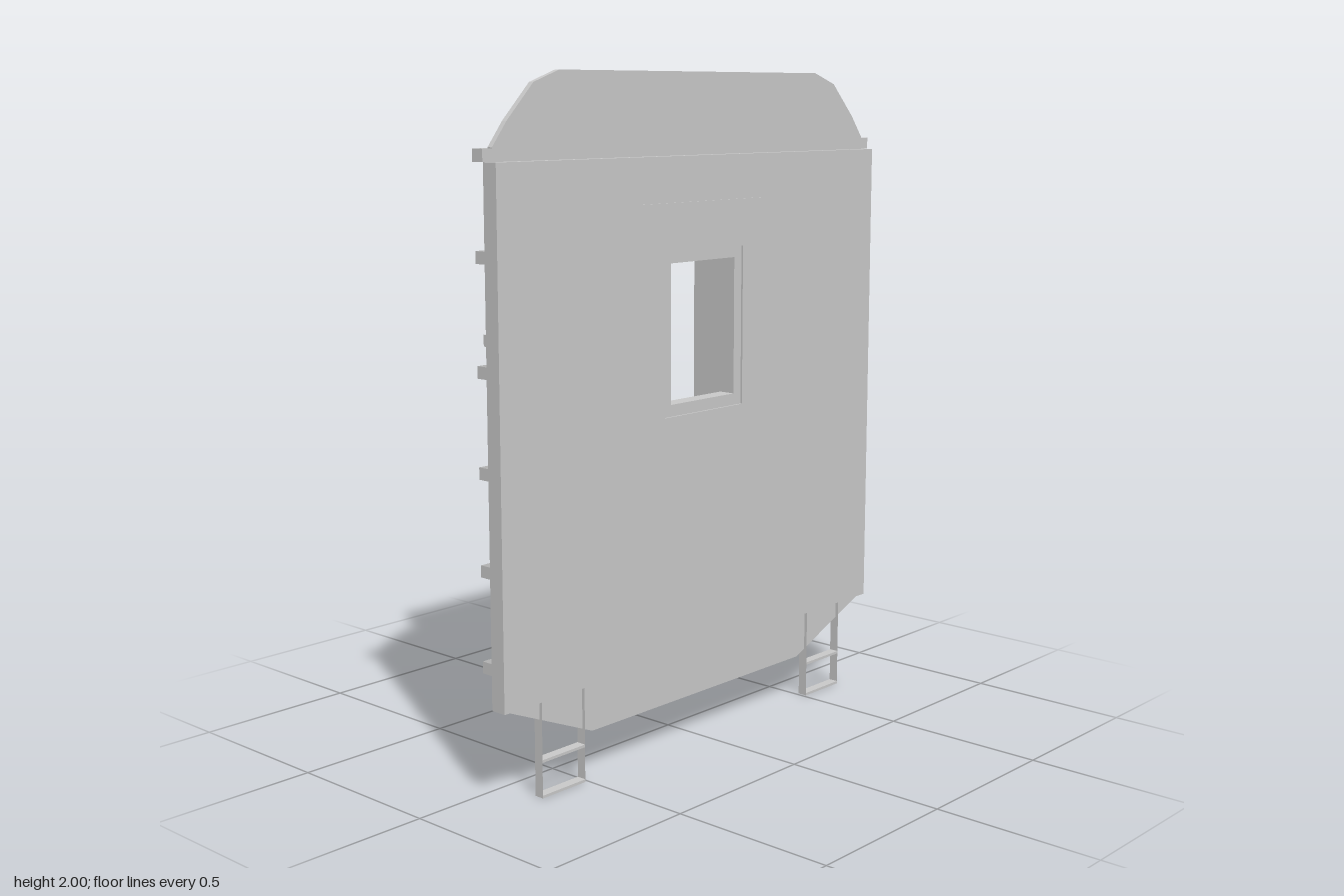
import * as THREE from 'three';

export function createModel() {
  const model = new THREE.Group();
  const grey = new THREE.MeshStandardMaterial({ color: 0xc9c9c9, side: THREE.DoubleSide });
  grey.name = 'plain grey';

  const add = (name, geometry) => {
    const mesh = new THREE.Mesh(geometry, grey);
    mesh.name = name;
    model.add(mesh);
    return mesh;
  };
  // Box given by its limits on each axis
  const box = (name, x0, x1, y0, y1, z0, z1) => {
    const mesh = add(name, new THREE.BoxGeometry(x1 - x0, y1 - y0, z1 - z0));
    mesh.position.set((x0 + x1) / 2, (y0 + y1) / 2, (z0 + z1) / 2);
    return mesh;
  };
  // Flat outline extruded between two depths
  const slab = (name, points, z0, z1, hole) => {
    const shape = new THREE.Shape(points.map(([x, y]) => new THREE.Vector2(x, y)));
    if (hole) shape.holes.push(new THREE.Path(hole.map(([x, y]) => new THREE.Vector2(x, y))));
    const geometry = new THREE.ExtrudeGeometry(shape, { depth: z1 - z0, bevelEnabled: false });
    return add(name, geometry.translate(0, 0, z0));
  };
  const rect = (w, y0, y1) => [[-w, y0], [w, y0], [w, y1], [-w, y1]];
  const ductOpening = rect(0.28, 0.43, 1.59);

  // End wall: outer skin with the window, backing cut away behind the gangway
  slab('wallSkin', rect(0.817, 0.28, 1.762), 0.127, 0.146, rect(0.173, 1.01, 1.49));
  slab('wallBacking', rect(0.817, 0.28, 1.762), 0.097, 0.127, ductOpening);
  slab('windowFrame', rect(0.173, 1.01, 1.49), 0.088, 0.14, rect(0.14, 1.045, 1.457));
  slab('upperPanel', [[-0.8, 1.762], [0.8, 1.762], [0.8, 1.8], [0.748, 1.867], [0.65, 1.967],
    [0.555, 2], [-0.555, 2], [-0.65, 1.967], [-0.748, 1.867], [-0.8, 1.8]], 0.097, 0.114);
  slab('lowerPanel', [[-0.8, 0.28], [-0.47, 0.14], [0.47, 0.14], [0.8, 0.28]], 0.097, 0.135);
  box('dripStrip', -0.27, 0.27, 1.6297, 1.6303, 0.146, 0.15);

  // Gangway duct, outer frame and sill
  slab('gangwayDuct', rect(0.345, 0.4, 1.73), -0.004, 0.097, ductOpening);
  slab('gangwayFrame', rect(0.445, 0.465, 1.73), -0.143, -0.004, rect(0.28, 0.535, 1.59));
  box('sill', -0.36, 0.36, 0.4, 0.467, -0.107, -0.004);

  // Header over the gangway
  box('header', -0.46, 0.46, 1.73, 1.865, -0.15, 0.022);
  box('headerFlange', -0.475, 0.475, 1.7, 1.9, 0.022, 0.055);
  box('headerBacking', -0.44, 0.44, 1.73, 1.865, 0.055, 0.087);

  // U-shaped ribbon of thin sheet, used for the climbing irons
  const ribbon = (x0, x1, y, zWall, zOut, h) => {
    const path = [[x0, zWall], [x0, zOut], [x1, zOut], [x1, zWall]];
    const verts = [], index = [];
    for (let i = 0; i < 3; i++) {
      const [a, b] = [path[i], path[i + 1]], n = i * 4;
      verts.push(a[0], y - h, a[1], b[0], y - h, b[1], b[0], y + h, b[1], a[0], y + h, a[1]);
      index.push(n, n + 2, n + 1, n, n + 3, n + 2);
    }
    const g = new THREE.BufferGeometry();
    g.setAttribute('position', new THREE.Float32BufferAttribute(verts, 3));
    g.setIndex(index);
    g.computeVertexNormals();
    return g;
  };

  for (const s of [-1, 1]) {
    const span = (a, b) => [Math.min(s * a, s * b), Math.max(s * a, s * b)];
    box('gutterEnd', ...span(0.77, 0.834), 1.763, 1.797, 0.075, 0.114);
    // Climbing irons, the top one shorter to clear the gutter end
    [1.78, 1.51, 1.203, 0.927, 0.655, 0.383].forEach((y, i) => {
      add('climbingIron', ribbon(...span(0.62, i ? 0.79 : 0.725), y, 0.097, 0.031, 0.017));
    });
    // Hanging step with sheet sides
    for (const x of [0.51, 0.677]) {
      const side = add('stepSide', new THREE.PlaneGeometry(0.03, 0.28));
      side.rotation.y = s * Math.PI / 2;
      side.position.set(s * x, 0.14, 0.13);
    }
    for (const y of [0.004, 0.108]) box('stepTread', ...span(0.51, 0.677), y - 0.004, y + 0.004, 0.115, 0.145);
  }

  // Small boxes and the latch on the right side
  for (const [x, y] of [[-0.685, 0.565], [-0.685, 0.46], [-0.715, 0.295]]) {
    box('junctionBox', x - 0.035, x + 0.035, y - 0.035, y + 0.035, 0.063, 0.097);
  }
  box('latchBase', -0.783, -0.713, 1.25, 1.32, 0.063, 0.097);
  box('latchKnob', -0.765, -0.733, 1.27, 1.302, 0.03, 0.063);

  // Tilted flap and its bracket on the left side
  box('flapBracket', 0.575, 0.675, 0.53, 0.6, 0.066, 0.097);
  const flap = add('flap', new THREE.BoxGeometry(0.135, 0.066, 0.025));
  flap.position.set(0.625, 0.506, 0.071);
  flap.rotation.x = 0.52;

  return model;
}
